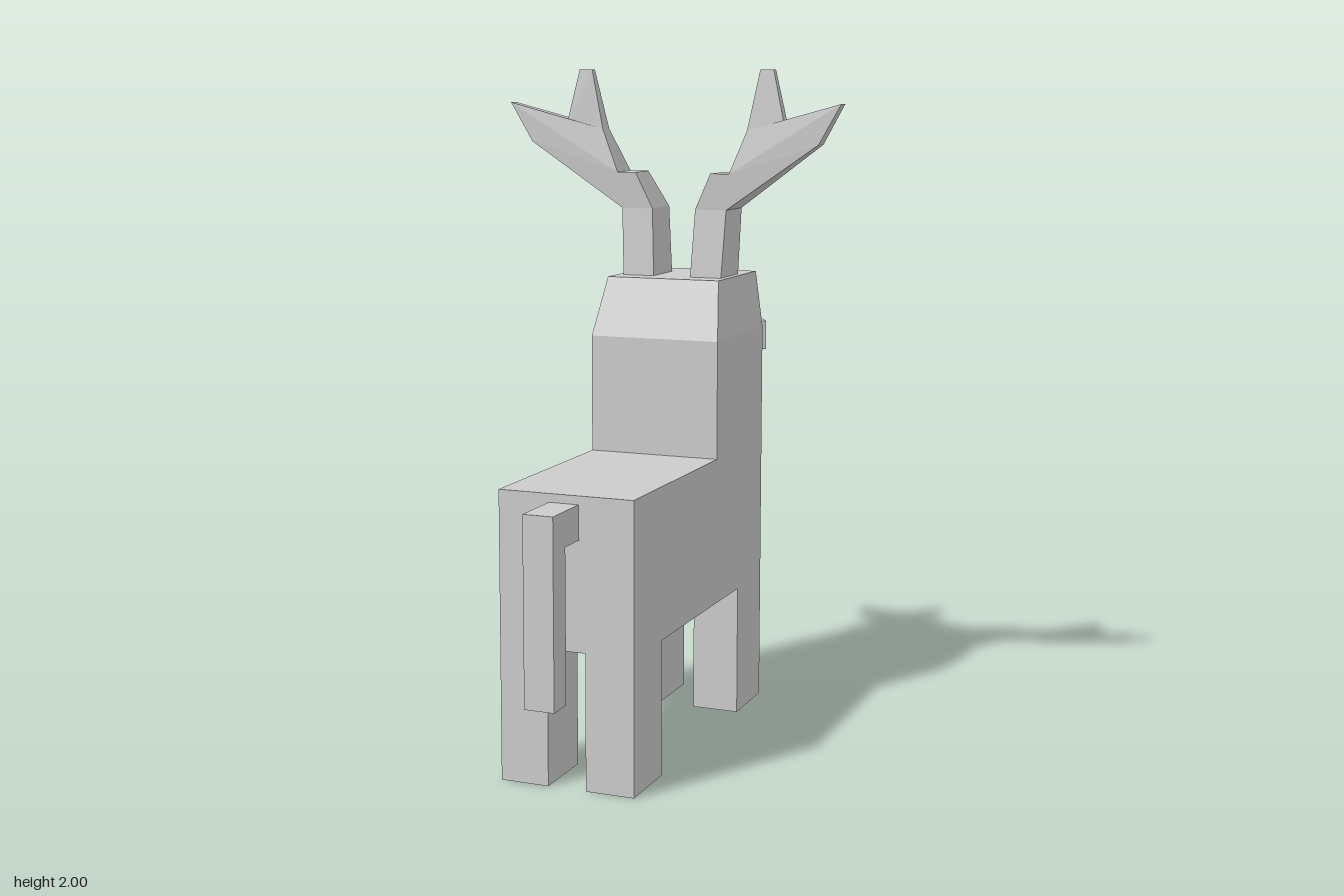
import * as THREE from 'three';
import { ConvexGeometry } from 'three/addons/geometries/ConvexGeometry.js';

const material = new THREE.MeshStandardMaterial({ color: 0xcccccc, flatShading: true });

function addMesh(parent, name, geometry) {
  const mesh = new THREE.Mesh(geometry, material);
  mesh.name = name;
  parent.add(mesh);
  return mesh;
}

// Box given by its limits on each axis
function addBox(parent, name, [x0, x1], [y0, y1], [z0, z1]) {
  const mesh = addMesh(parent, name, new THREE.BoxGeometry(x1 - x0, y1 - y0, z1 - z0));
  mesh.position.set((x0 + x1) / 2, (y0 + y1) / 2, (z0 + z1) / 2);
  return mesh;
}

// Flat-faced solid around a set of corners, mirrored in x when side is -1
function addHull(parent, name, corners, side = 1) {
  const points = corners.map(([x, y, z]) => new THREE.Vector3(x * side, y, z));
  return addMesh(parent, name, new ConvexGeometry(points));
}

// Level rectangle of four corners
function level(y, [x0, x1], [z0, z1]) {
  return [[x0, y, z0], [x1, y, z0], [x1, y, z1], [x0, y, z1]];
}

// Edge of two corners running along z
function edge(x, y, [z0, z1]) {
  return [[x, y, z0], [x, y, z1]];
}

function createAntler(side) {
  const antler = new THREE.Group();
  antler.name = side > 0 ? 'leftAntler' : 'rightAntler';

  const foot = level(1.375, [0.06, 0.16], [-0.395, -0.24]);
  const elbowBottom = level(1.58, [0.07, 0.17], [-0.395, -0.255]);
  const elbowTop = level(1.69, [0.122, 0.182], [-0.35, -0.245]);
  const beamLow = edge(0.17, 1.58, [-0.395, -0.255]);
  const beamHigh = edge(0.182, 1.69, [-0.35, -0.245]);
  const endLow = edge(0.465, 1.78, [-0.285, -0.235]);
  const endHigh = edge(0.535, 1.9, [-0.27, -0.23]);
  const tineBase = [
    ...edge(0.235, 1.82, [-0.305, -0.255]),
    ...edge(0.355, 1.83, [-0.285, -0.25]),
  ];
  const tineTip = level(2, [0.273, 0.315], [-0.283, -0.262]);

  addHull(antler, 'antlerStalk', [...foot, ...elbowBottom], side);
  addHull(antler, 'antlerElbow', [...elbowBottom, ...elbowTop], side);
  addHull(antler, 'antlerBeam', [...beamLow, ...beamHigh, ...endLow, ...endHigh], side);
  addHull(antler, 'antlerCrown', [...beamHigh, ...endHigh, ...tineBase], side);
  addHull(antler, 'antlerTine', [...tineBase, ...tineTip], side);
  return antler;
}

export function createModel() {
  const model = new THREE.Group();
  model.name = 'deer';
  const W = 0.204; // half width of the body

  // Body and neck: one L-shaped side profile, as [z, y]
  const profile = [
    [0.555, 0.4], [-0.505, 0.4], [-0.505, 1.2], [-0.095, 1.2], [-0.095, 0.845], [0.555, 0.845],
  ].map(([z, y]) => new THREE.Vector2(-z, y));
  const body = new THREE.ExtrudeGeometry(new THREE.Shape(profile), { depth: 2 * W, bevelEnabled: false });
  body.translate(0, 0, -W).rotateY(Math.PI / 2);
  addMesh(model, 'bodyAndNeck', body);

  // Head: tapered crown block and pointed snout
  addHull(model, 'headTop', [
    ...level(1.2, [-W, W], [-0.505, -0.095]),
    ...level(1.375, [-0.18, 0.18], [-0.505, -0.165]),
  ]);
  const snout = [];
  for (const s of [-1, 1]) {
    snout.push([s * 0.18, 1.375, -0.505], [s * 0.198, 1.005, -0.505],
      [s * 0.073, 1.16, -0.722], [s * 0.073, 1.08, -0.722]);
  }
  addHull(model, 'snout', snout);

  for (const s of [-1, 1]) {
    const sideName = s > 0 ? 'left' : 'right';

    // Legs
    const x = s > 0 ? [0.058, W] : [-W, -0.058];
    addBox(model, sideName + 'TailEndLeg', x, [0, 0.4], [0.35, 0.555]);
    addBox(model, sideName + 'HeadEndLeg', x, [0, 0.4], [-0.505, -0.29]);

    // Eye plate, turned to lie along the snout
    const eye = addMesh(model, sideName + 'Eye', new THREE.BoxGeometry(0.03, 0.09, 0.085));
    eye.position.set(s * 0.171, 1.17, -0.565);
    eye.rotation.y = s * 0.53;

    model.add(createAntler(s));
  }

  // Tail: short stub and hanging part
  addBox(model, 'tailStub', [-0.05, 0.04], [0.72, 0.82], [0.555, 0.645]);
  addBox(model, 'tailHanging', [-0.05, 0.04], [0.275, 0.82], [0.645, 0.724]);

  return model;
}
